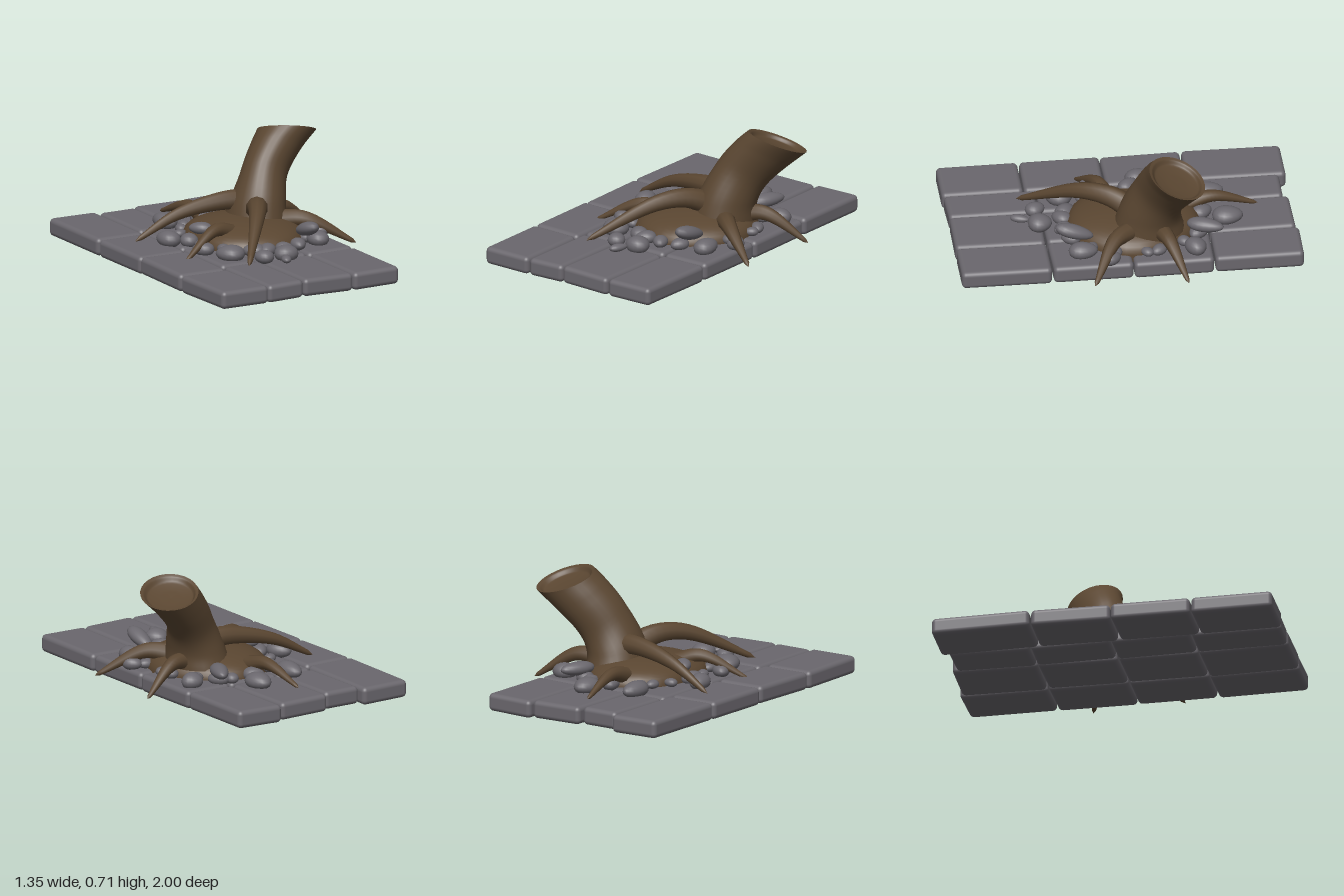
import * as THREE from 'three';
import { mergeVertices } from 'three/addons/utils/BufferGeometryUtils.js';
import { RoundedBoxGeometry } from 'three/addons/geometries/RoundedBoxGeometry.js';

const V = (x, y, z) => new THREE.Vector3(x, y, z);

// small seeded generator, returns -1..1
function makeRandom(seed) {
  return () => {
    seed = (seed * 16807) % 2147483647;
    return (seed / 2147483647) * 2 - 1;
  };
}

// move every vertex of a geometry by a rule
function warp(geo, rule) {
  const p = geo.attributes.position, v = V(0, 0, 0);
  for (let i = 0; i < p.count; i++) {
    v.fromBufferAttribute(p, i);
    rule(v, i);
    p.setXYZ(i, v.x, v.y, v.z);
  }
  return geo;
}

// weld seams and recompute smooth normals
function smooth(geo) {
  geo.deleteAttribute('normal');
  geo.deleteAttribute('uv');
  const g = mergeVertices(geo, 1e-5);
  g.computeVertexNormals();
  return g;
}

// loft through stations [x, y, z, radiusX, radiusZ, tilt]
function loft(stations) {
  const path = new THREE.CatmullRomCurve3(stations.map(s => V(s[0], s[1], s[2])));
  const size = new THREE.CatmullRomCurve3(stations.map(s => V(s[3], s[4], s[5])));
  const geo = new THREE.CylinderGeometry(1, 1, 1, 28, 24, true);
  return smooth(warp(geo, v => {
    const t = THREE.MathUtils.clamp(v.y + 0.5, 0, 1);
    const c = path.getPoint(t), s = size.getPoint(t);
    const dx = v.x * s.x, dz = v.z * s.y;
    v.set(c.x + dx, c.y + s.z * (-0.2 * dx + 0.33 * dz), c.z + dz);
  }));
}

// tapered tube ending in a blunt tip
function rootGeometry(points, radius) {
  const curve = new THREE.CatmullRomCurve3(points.map(p => V(...p)));
  const n = 20, sides = 10;
  const geo = new THREE.TubeGeometry(curve, n, 1, sides);
  return smooth(warp(geo, (v, i) => {
    const ring = Math.floor(i / (sides + 1)), t = ring / n;
    const r = ring === n ? 0.001 : radius * (1 - 0.82 * Math.pow(t, 1.1));
    const c = curve.getPointAt(t);
    v.sub(c).multiplyScalar(r).add(c);
  }));
}

export function createModel() {
  const model = new THREE.Group();
  const bark = new THREE.MeshStandardMaterial({ name: 'brown bark', color: 0x5a4631 });
  const grey = new THREE.MeshStandardMaterial({ name: 'grey stone', color: 0x6a676d });
  const add = (name, geo, mat, parent = model) => {
    const mesh = new THREE.Mesh(geo, mat);
    mesh.name = name;
    parent.add(mesh);
    return mesh;
  };
  const rand = makeRandom(71);

  // paving: four columns [x0, x1, back, front], each cut into four slabs
  const paving = new THREE.Group();
  paving.name = 'paving';
  model.add(paving);
  const columns = [
    [-0.67, -0.362, -1, 1],
    [-0.357, -0.12, -0.955, 0.99],
    [-0.115, 0.21, -0.985, 0.99],
    [0.215, 0.515, -1, 0.99],
  ];
  columns.forEach(([x0, x1, back, front], col) => {
    const drift = col === 0 ? 0.05 : -0.01;
    const edges = [back, drift - 0.47, drift, drift + 0.47, front];
    for (let r = 0; r < 4; r++) {
      const w = x1 - x0, d = edges[r + 1] - edges[r] - 0.008;
      const skew = Array.from({ length: 4 }, () => rand() * 0.007);
      const geo = warp(new RoundedBoxGeometry(w, 0.104, d, 4, 0.027), v => {
        const u = v.x / w, k = v.z / d;
        v.x += skew[0] * k;
        v.y += skew[1] * u + skew[2] * k;
        v.z += skew[3] * u;
      });
      const slab = add('slab', geo, grey, paving);
      slab.position.set((x0 + x1) / 2, 0.06, (edges[r] + edges[r + 1]) / 2);
    }
  });

  // soil mound: upper half of a squarish, uneven dome
  const dome = new THREE.SphereGeometry(1, 32, 14, 0, Math.PI * 2, 0, Math.PI / 2);
  warp(dome, v => {
    const a = Math.atan2(v.z, v.x);
    const k = 1 + 0.025 * Math.sin(3 * a + 1) + 0.015 * Math.cos(5 * a);
    v.set(0.08 + v.x * 0.34 * k, 0.07 + 0.17 * Math.pow(Math.max(v.y, 0), 0.6), -0.05 + v.z * 0.39 * k);
  });
  add('mound', smooth(dome), bark);

  // leaning trunk with a hollowed cut top
  const rim = [0.49, 0.655, -0.26, 0.172, 0.16, 1];
  add('trunk', loft([
    [0.2, 0.16, -0.13, 0.18, 0.21, 0],
    [0.225, 0.29, -0.14, 0.16, 0.175, 0.6],
    [0.3, 0.45, -0.185, 0.138, 0.135, 1.6],
    [0.4, 0.57, -0.23, 0.152, 0.145, 1.4],
    rim,
  ]), bark);
  const hollow = [[1, 0], [0.9, 0.006], [0.78, 0.028], [0.4, 0.038], [0.005, 0.04]];
  add('cutTop', loft(hollow.map(([k, drop]) => [
    rim[0] - drop * 0.3, rim[1] - drop, rim[2] + drop * 0.1, rim[3] * k, rim[4] * k, 1,
  ])), bark);

  // arching roots: radius, then points from stump to tip
  const roots = [
    [0.07, [0.17, 0.25, -0.06], [0.1, 0.315, 0.07], [0, 0.31, 0.24], [-0.25, 0.125, 0.58]],
    [0.065, [0.17, 0.3, -0.17], [0.02, 0.305, -0.19], [-0.25, 0.25, -0.235], [-0.515, 0.115, -0.265]],
    [0.05, [-0.06, 0.18, 0.06], [-0.2, 0.225, 0.11], [-0.46, 0.1, 0.22]],
    [0.05, [0, 0.17, -0.36], [-0.015, 0.205, -0.52], [-0.045, 0.12, -0.79]],
    [0.06, [0.29, 0.2, -0.02], [0.41, 0.21, 0.09], [0.66, 0.07, 0.235]],
    [0.055, [0.3, 0.2, -0.18], [0.44, 0.21, -0.22], [0.675, 0.06, -0.305]],
  ];
  for (const [radius, ...path] of roots) add('root', rootGeometry(path, radius), bark);

  // loose stones share one egg shape
  const rubble = new THREE.Group();
  rubble.name = 'rubble';
  model.add(rubble);
  const egg = smooth(warp(new THREE.SphereGeometry(1, 18, 12), v => {
    v.x *= 1 + 0.18 * v.z;
    v.y *= 1 + 0.12 * v.z;
  }));
  const addStone = (x, y, z, width, length, turn) => {
    const m = add('stone', egg, grey, rubble);
    m.position.set(x, y, z);
    m.scale.set(width, Math.min(width * 0.8, 0.05), length);
    m.rotation.y = turn;
    return m;
  };
  // larger stones: x, z, half width, half length, turn
  const large = [
    [-0.18, -0.51, 0.06, 0.1, 0],
    [0.1, -0.6, 0.07, 0.09, 0],
    [-0.37, -0.14, 0.06, 0.08, 0.3],
    [-0.31, 0.16, 0.05, 0.065, 0.7],
    [-0.23, 0.33, 0.075, 0.085, 0.8],
    [0.38, 0.27, 0.06, 0.085, 0],
    [0.05, 0.48, 0.07, 0.07, 0],
    [-0.1, 0.49, 0.05, 0.06, 0.5],
    [-0.01, 0.59, 0.028, 0.058, -0.4],
    [0.41, -0.38, 0.07, 0.06, 0.5],
    [0.48, 0.12, 0.05, 0.06, 0.4],
  ];
  for (const [x, z, width, length, turn] of large) addStone(x, 0.14, z, width, length, turn);
  // stones resting on the edge of the mound
  addStone(0.29, 0.215, 0.31, 0.05, 0.115, -0.05).rotation.x = -0.3;
  addStone(0.27, 0.19, -0.45, 0.05, 0.11, -0.4);
  addStone(-0.2, 0.2, -0.06, 0.045, 0.07, 0.8);
  // smaller chips around the foot of the mound
  for (let i = 0; i < 18; i++) {
    const a = (i / 18) * Math.PI * 2 + rand() * 0.12, s = 0.042 + 0.012 * rand();
    addStone(0.08 + Math.cos(a) * 0.35, 0.135, -0.05 + Math.sin(a) * 0.41, s, s * 1.3, rand() * 3);
  }
  return model;
}
